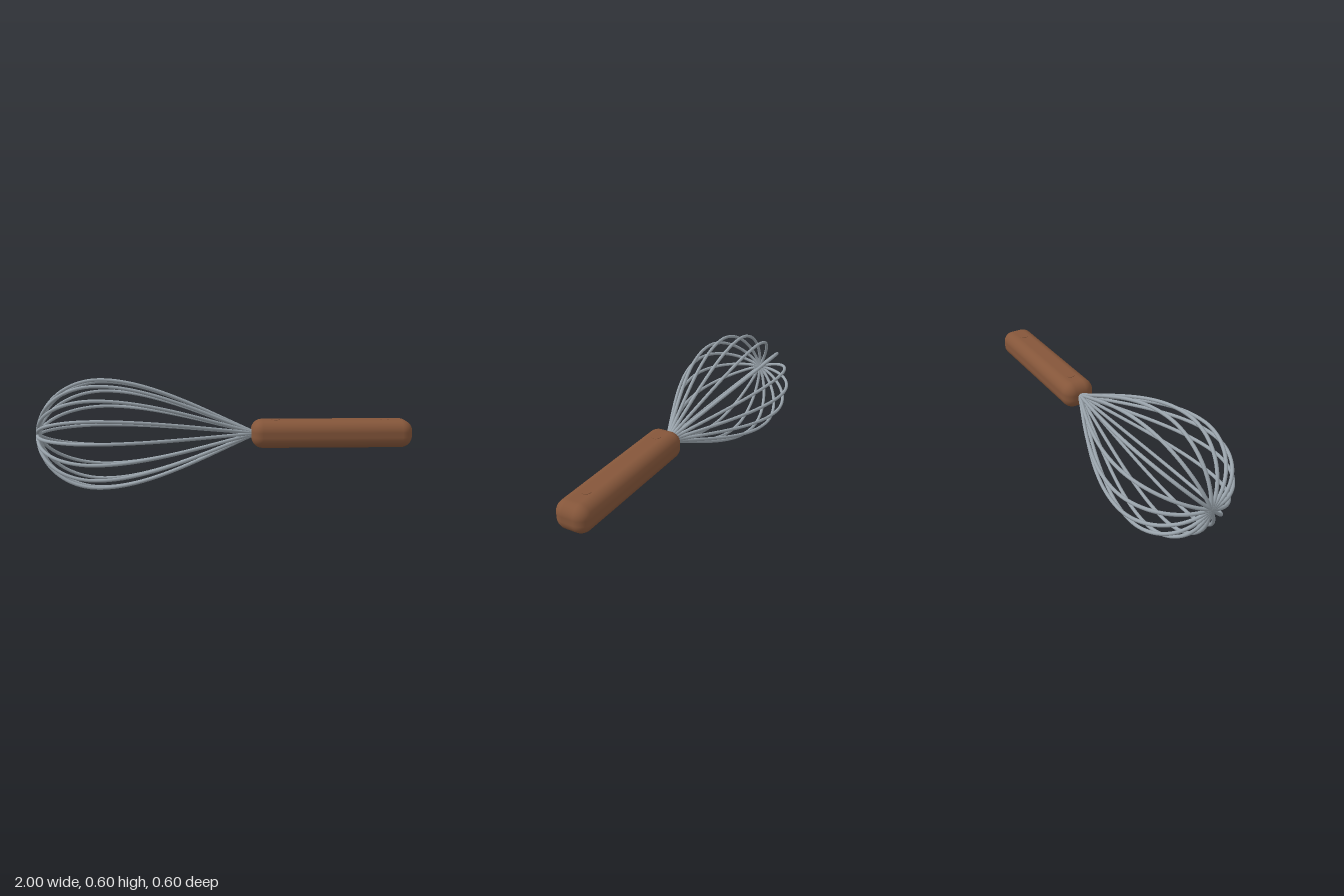
import * as THREE from 'three';
import { RoundedBoxGeometry } from 'three/addons/geometries/RoundedBoxGeometry.js';

const AXIS_Y = 0.299;   // height of the whisk's long axis
const LOOPS = 8;        // each loop makes two opposite wires
const WIRE_RADIUS = 0.009;

// One closed-ended loop in the xy plane: handle, over the balloon, round the tip and back
function loopCurve() {
  const v = (x, y) => new THREE.Vector3(x, y, 0);
  const path = new THREE.CurvePath();
  path.add(new THREE.CubicBezierCurve3(v(0.17, 0), v(-0.1, 0.12), v(-0.4, 0.29), v(-0.66, 0.29)));
  path.add(new THREE.CubicBezierCurve3(v(-0.66, 0.29), v(-0.845, 0.29), v(-0.991, 0.16), v(-0.991, 0)));
  path.add(new THREE.CubicBezierCurve3(v(-0.991, 0), v(-0.991, -0.16), v(-0.845, -0.29), v(-0.66, -0.29)));
  path.add(new THREE.CubicBezierCurve3(v(-0.66, -0.29), v(-0.4, -0.29), v(-0.1, -0.12), v(0.17, 0)));
  return path;
}

export function createModel() {
  const steel = new THREE.MeshStandardMaterial({ color: 0x98a2aa });
  steel.name = 'steel';
  const wood = new THREE.MeshStandardMaterial({ color: 0x85563a });
  wood.name = 'wood';

  const whisk = new THREE.Group();
  whisk.name = 'whisk';

  // Wire balloon
  const balloon = new THREE.Group();
  balloon.name = 'wireBalloon';
  const wireGeometry = new THREE.TubeGeometry(loopCurve(), 120, WIRE_RADIUS, 10, false);
  for (let i = 0; i < LOOPS; i++) {
    const wire = new THREE.Mesh(wireGeometry, steel);
    wire.name = `wireLoop${i + 1}`;
    wire.rotation.x = (i * Math.PI) / LOOPS;
    balloon.add(wire);
  }
  balloon.position.y = AXIS_Y;
  whisk.add(balloon);

  // Rounded handle
  const handle = new THREE.Mesh(new RoundedBoxGeometry(0.86, 0.147, 0.18, 4, 0.06), wood);
  handle.name = 'handle';
  handle.position.set(0.57, AXIS_Y, 0);
  whisk.add(handle);

  // Pins through the handle, just proud of the top and bottom
  const pinGeometry = new THREE.CylinderGeometry(0.024, 0.024, 0.151, 24);
  [0.27, 0.855].forEach((x, i) => {
    const pin = new THREE.Mesh(pinGeometry, wood);
    pin.name = `handlePin${i + 1}`;
    pin.position.set(x, AXIS_Y, 0);
    whisk.add(pin);
  });

  return whisk;
}
